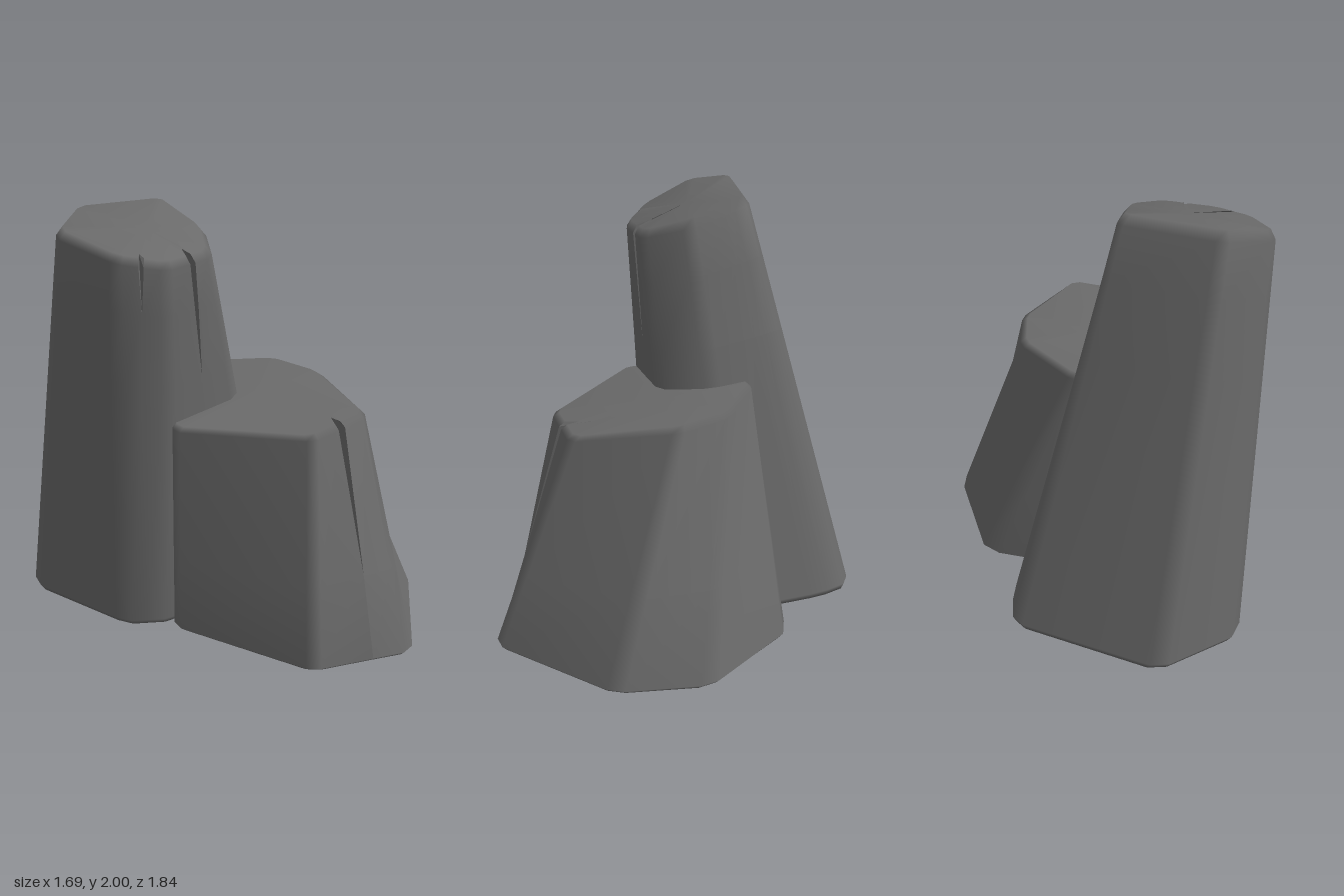
import * as THREE from 'three';

const stone = new THREE.MeshStandardMaterial({ color: 0x6a6a6a, side: THREE.DoubleSide });
stone.name = 'dark grey stone';

const mix = (a, b, t) => a + (b - a) * t;

// Tapered rock column lofted between a base and a sloping top.
// corners: [topX, topZ, baseX, baseZ], clockwise from above
// cracks: { edge, at, half, end, endAt, tip } - a wedge notch cut down from the rim
function rockColumn(name, corners, topY, cracks) {
  const n = corners.length;
  const centre = [0, 1, 2, 3].map(k => corners.reduce((s, c) => s + c[k], 0) / n);

  // Columns of points: two per corner for a rounded edge, two per crack for its lips
  const columns = [];
  corners.forEach((a, i) => {
    const b = corners[(i + 1) % n];
    const round = Math.min(0.2, 0.03 / Math.hypot(b[0] - a[0], b[1] - a[1]));
    columns.push({ a, b, f: () => round });
    for (const crack of cracks.filter(c => c.edge === i)) {
      const lip = side => t => {
        const u = Math.max(0, (t - crack.end) / (1 - crack.end));
        return mix(crack.endAt, crack.at + side * crack.half, u);
      };
      columns.push({ a, b, f: lip(-1), crack }, { a, b, f: lip(1) });
    }
    columns.push({ a, b, f: () => 1 - round });
  });

  const pointAt = ({ a, b, f }, t, inset) => {
    const c = a.map((v, k) => mix(v, b[k], f(t)));
    const x = mix(c[2], c[0], t), z = mix(c[3], c[1], t);
    const cx = mix(centre[2], centre[0], t), cz = mix(centre[3], centre[1], t);
    const s = 1 - inset / Math.hypot(x - cx, z - cz);
    return [mix(cx, x, s), t * topY(c[0], c[1]), mix(cz, z, s)];
  };

  // Rings from the base bevel up to the top bevel
  const levels = [0.018, ...cracks.map(c => c.end), 0.98].sort((p, q) => p - q);
  const rings = [[0, 0.025], ...levels.map(t => [t, 0]), [1, 0.025]];
  const m = columns.length, last = rings.length - 1;
  const points = rings.flatMap(([t, inset]) => columns.map(c => pointAt(c, t, inset)));
  const id = (k, j) => k * m + (j % m);
  const baseMid = points.push([centre[2], 0, centre[3]]) - 1;
  const topMid = points.push([centre[0], topY(centre[0], centre[1]), centre[1]]) - 1;

  const body = [], walls = [];
  for (let j = 0; j < m; j++) {
    const crack = columns[j].crack;
    body.push(baseMid, id(0, j), id(0, j + 1));
    if (crack) {
      // Open slit in the skin, closed by two walls meeting at the tip
      const [x, z] = crack.tip;
      const tip = points.push([x, topY(x, z), z]) - 1;
      body.push(topMid, tip, id(last, j), topMid, id(last, j + 1), tip);
      for (let k = 1 + levels.indexOf(crack.end); k < last; k++) {
        walls.push(tip, id(k + 1, j), id(k, j), tip, id(k, j + 1), id(k + 1, j + 1));
      }
      // Base bevel stays closed beneath the crack
      continue;
    }
    body.push(topMid, id(last, j + 1), id(last, j));
    for (let k = 0; k < last; k++) {
      body.push(id(k, j + 1), id(k, j), id(k + 1, j), id(k, j + 1), id(k + 1, j), id(k + 1, j + 1));
    }
  }

  const surface = (label, index, flat) => {
    let g = new THREE.BufferGeometry();
    g.setAttribute('position', new THREE.Float32BufferAttribute(points.flat(), 3));
    g.setIndex(index);
    if (flat) g = g.toNonIndexed();
    g.computeVertexNormals();
    const mesh = new THREE.Mesh(g, stone);
    mesh.name = label;
    return mesh;
  };
  const group = new THREE.Group();
  group.name = name;
  group.add(surface(name + 'Body', body, false), surface(name + 'Cracks', walls, true));
  return group;
}

export function createModel() {
  const model = new THREE.Group();
  model.name = 'rockColumns';

  // Tall leaning column at the back
  model.add(rockColumn('tallRock', [
    [-0.60, -0.38, -0.56, -0.93], [-0.16, -0.37, 0.19, -0.90],
    [-0.14, -0.28, 0.26, -0.74], [-0.10, -0.08, 0.33, -0.30],
    [-0.19, 0.13, 0.25, 0.00], [-0.44, 0.18, -0.42, 0.10],
    [-0.63, 0.07, -0.62, 0.00], [-0.78, -0.20, -0.86, -0.60],
  ], (x, z) => 1.89 - 0.3 * z, [
    { edge: 4, at: 0.44, half: 0.06, end: 0.69, endAt: 0.49, tip: [-0.31, 0.06] },
    { edge: 5, at: 0.5, half: 0.06, end: 0.865, endAt: 0.5, tip: [-0.52, 0.08] },
  ]));

  // Short wide column at the front
  model.add(rockColumn('shortRock', [
    [0.05, -0.37, 0.52, -0.49], [0.38, -0.20, 0.87, -0.04],
    [0.48, 0.05, 0.85, 0.41], [0.40, 0.53, 0.41, 0.94],
    [0.05, 0.59, -0.08, 0.81], [-0.43, 0.18, -0.43, 0.15],
    [-0.20, -0.30, -0.10, -0.42],
  ], (x, z) => 1.12 + 0.06 * x - 0.09 * z, [
    { edge: 3, at: 0.49, half: 0.06, end: 0.365, endAt: 0.4, tip: [0.25, 0.42] },
  ]));

  return model;
}
